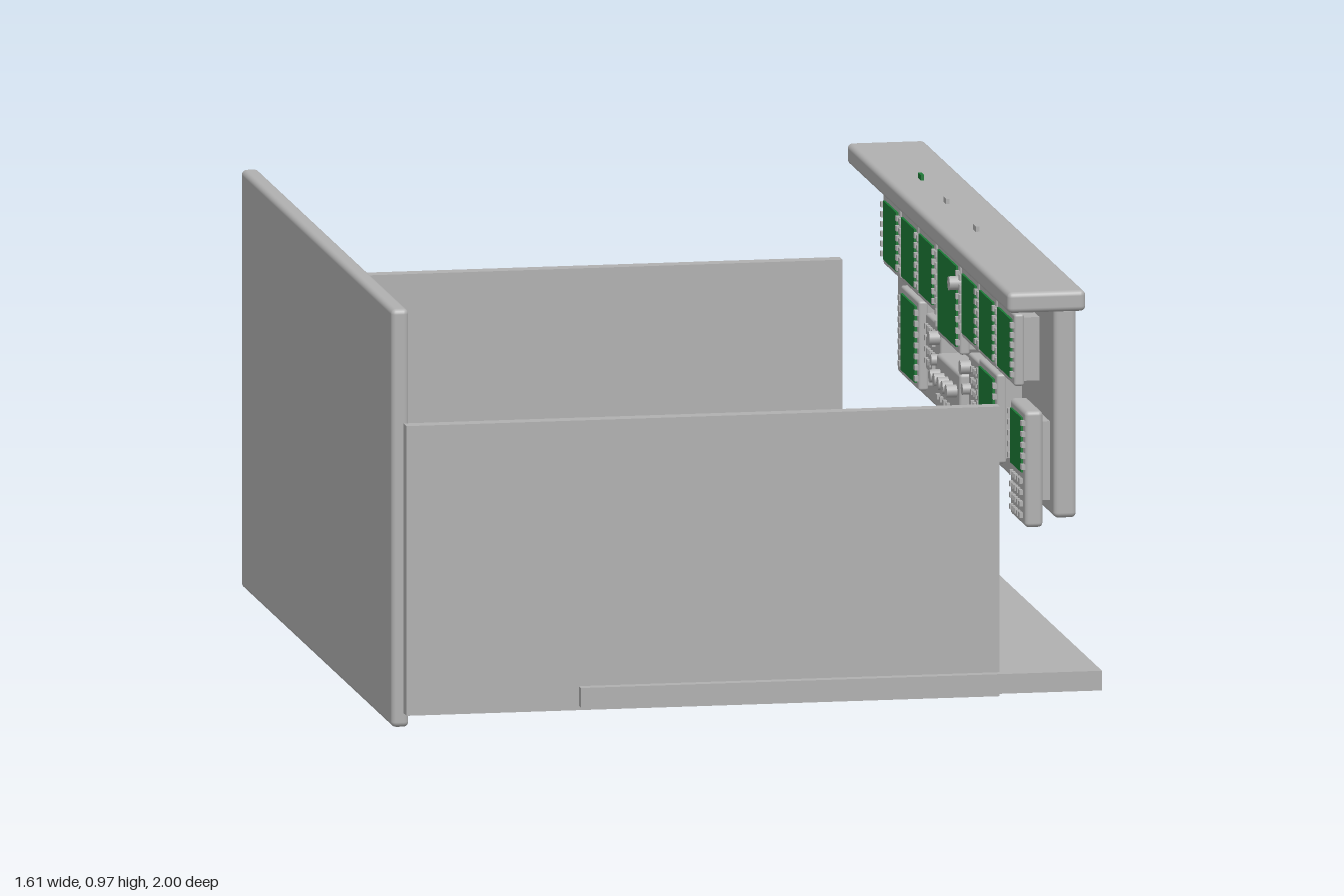
import * as THREE from 'three';
import { RoundedBoxGeometry } from 'three/addons/geometries/RoundedBoxGeometry.js';

const grey = new THREE.MeshStandardMaterial({ color: 0xb0b0b0 });
grey.name = 'panel grey';
const green = new THREE.MeshStandardMaterial({ color: 0x1c7a36 });
green.name = 'screen green';

// Box given by its min/max on each axis; r rounds the edges
function slab(parent, name, [x0, x1], [y0, y1], [z0, z1], r = 0, material = grey) {
  const size = [x1 - x0, y1 - y0, z1 - z0];
  const geometry = r ? new RoundedBoxGeometry(...size, 3, r) : new THREE.BoxGeometry(...size);
  const mesh = new THREE.Mesh(geometry, material);
  mesh.name = name;
  mesh.position.set((x0 + x1) / 2, (y0 + y1) / 2, (z0 + z1) / 2);
  parent.add(mesh);
  return mesh;
}

// Small round knob pointing towards -x
function knob(parent, x, y, z, radius, length) {
  const mesh = new THREE.Mesh(new THREE.CylinderGeometry(radius, radius, length, 16), grey);
  mesh.name = 'knob';
  mesh.rotation.z = Math.PI / 2;
  mesh.position.set(x - length / 2, y, z);
  parent.add(mesh);
}

// Grid of push buttons on a face at x
function buttons(parent, x, y, z, rows, cols, dy, dz) {
  for (let i = 0; i < rows; i++) {
    for (let j = 0; j < cols; j++) {
      const by = y + (i - (rows - 1) / 2) * dy;
      const bz = z + (j - (cols - 1) / 2) * dz;
      slab(parent, 'button', [x - 0.008, x + 0.002], [by - 0.006, by + 0.006], [bz - 0.007, bz + 0.007]);
    }
  }
}

// Display: housing, bezel, screen and a button column on both sides
function display(parent, name, y, z, w, h) {
  const unit = new THREE.Group();
  unit.name = name;
  slab(unit, 'housing', [0.663, 0.702], [y - h / 2 + 0.01, y + h / 2 - 0.01], [z - w / 2 + 0.012, z + w / 2 - 0.012]);
  slab(unit, 'bezel', [0.642, 0.665], [y - h / 2, y + h / 2], [z - w / 2, z + w / 2], 0.006);
  slab(unit, 'screen', [0.637, 0.643], [y - h / 2 + 0.015, y + h / 2 - 0.015],
    [z - w / 2 + 0.022, z + w / 2 - 0.022], 0, green);
  const rows = Math.round(h / 0.03);
  buttons(unit, 0.642, y, z, rows, 2, (h - 0.03) / rows, w - 0.02);
  parent.add(unit);
}

export function createModel() {
  const model = new THREE.Group();
  model.name = 'cockpit mockup';

  // Enclosure
  slab(model, 'floor', [-0.39, 0.805], [0.047, 0.092], [-1, 1]);
  slab(model, 'rearWall', [-0.808, -0.768], [0, 0.957], [-0.917, 0.917], 0.012);
  for (const s of [-1, 1]) {
    slab(model, 'sideWall', [-0.785, 0.575], [0.037, 0.7], [s * 0.957 - 0.018, s * 0.957 + 0.018]);
  }

  // Instrument panel and its hood
  const dash = new THREE.Group();
  dash.name = 'instrumentPanel';
  model.add(dash);
  slab(dash, 'mainPanel', [0.703, 0.755], [0.436, 0.92], [-0.956, 0.956], 0.012);
  slab(dash, 'hood', [0.593, 0.772], [0.912, 0.96], [-0.98, 0.98], 0.012);

  // Tiny plates poking through the hood
  [[-0.49, green], [-0.18, grey], [0.18, grey]].forEach(([z, material]) =>
    slab(dash, 'hoodIndicator', [0.667, 0.675], [0.9, 0.972], [z - 0.016, z + 0.016], 0, material));

  // Upper and lower displays, mirrored about the middle
  for (const s of [-1, 1]) {
    for (const z of [0.26, 0.475, 0.695]) display(dash, 'upperDisplay', 0.795, s * z, 0.205, 0.165);
    display(dash, 'lowerDisplay', 0.6, s * 0.475, 0.215, 0.205);

    // Switch panel between the lower display and the centre
    slab(dash, 'switchPanel', [0.655, 0.705], [0.55, 0.68], [s * 0.26 - 0.09, s * 0.26 + 0.09], 0.006);
    buttons(dash, 0.655, 0.615, s * 0.28, 4, 4, 0.026, 0.028);
    knob(dash, 0.656, 0.65, s * 0.19, 0.016, 0.025);
    knob(dash, 0.656, 0.6, s * 0.19, 0.013, 0.02);
  }
  display(dash, 'centreDisplay', 0.775, 0, 0.27, 0.215);
  knob(dash, 0.642, 0.835, 0.145, 0.016, 0.028);

  // Centre control box with knobs and switches
  slab(dash, 'centreControlBox', [0.64, 0.705], [0.475, 0.625], [-0.14, 0.14], 0.008);
  for (let i = 0; i < 5; i++) knob(dash, 0.641, 0.58, -0.1 + i * 0.05, 0.015, 0.025);
  buttons(dash, 0.64, 0.515, 0, 2, 6, 0.035, 0.04);

  // Side control unit with screen and keypad
  slab(dash, 'sideUnit', [0.642, 0.683], [0.412, 0.678], [0.745, 0.93], 0.01);
  slab(dash, 'sideUnitMount', [0.68, 0.705], [0.47, 0.65], [0.77, 0.905]);
  slab(dash, 'sideUnitScreen', [0.637, 0.643], [0.535, 0.66], [0.77, 0.905], 0, green);
  buttons(dash, 0.642, 0.6, 0.8375, 5, 2, 0.025, 0.16);
  buttons(dash, 0.642, 0.475, 0.8375, 4, 5, 0.026, 0.028);

  return model;
}
